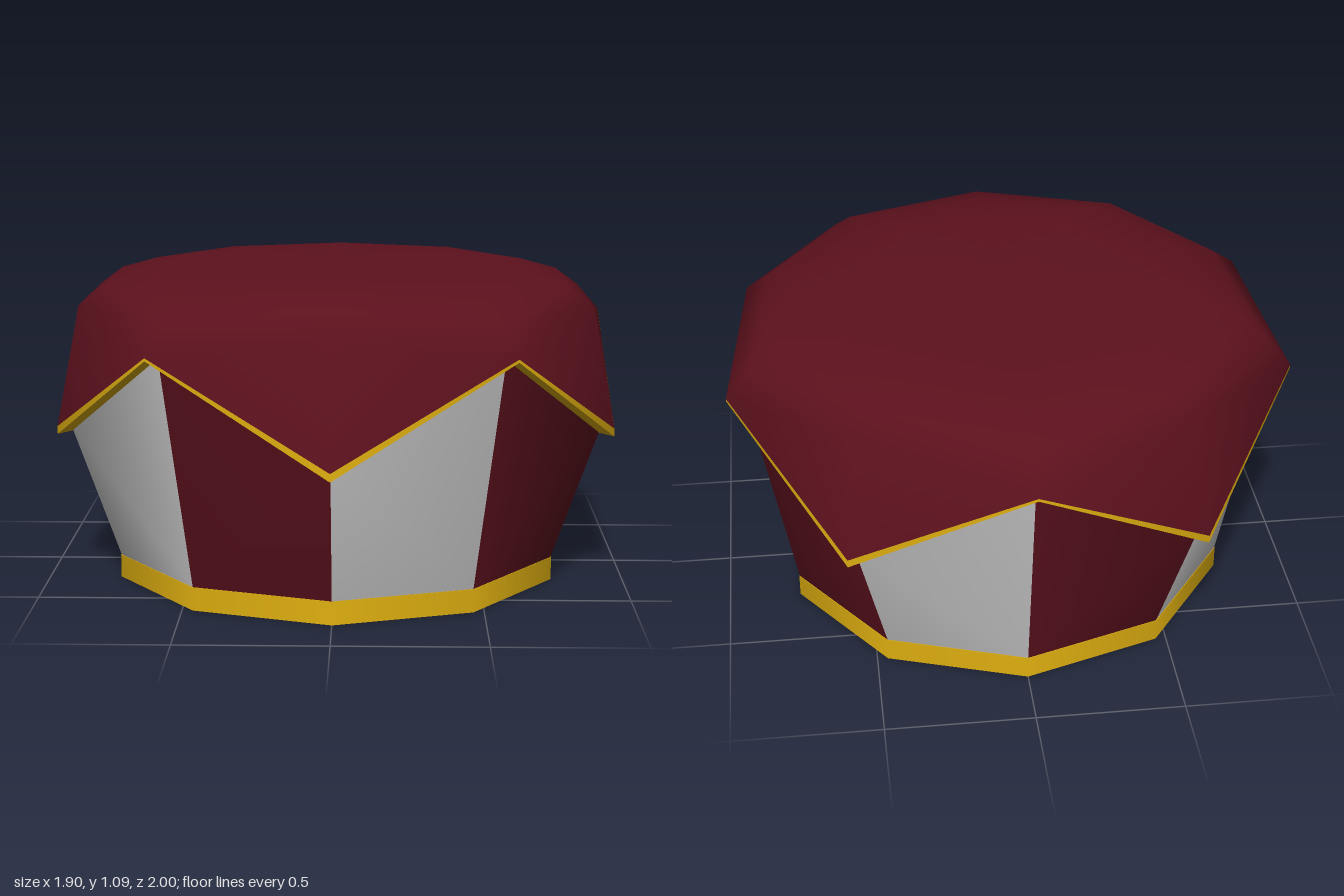
import * as THREE from 'three';

const SIDES = 10;
const MAROON = 0x5c111d, GOLD = 0xe0b010, GREY = 0xcccccc;

// Stacked ten-sided rings; each ring is [lowR, lowY, highR, highY], used at alternate corners.
// keep(i) picks which sides get faces; normals are smoothed over all of them.
function ringSurface(rings, keep = () => true) {
  const pos = [], all = [], kept = [];
  for (const [lowR, lowY, highR = lowR, highY = lowY] of rings) {
    for (let i = 0; i < SIDES; i++) {
      const a = (i / SIDES) * Math.PI * 2;
      const r = i % 2 ? highR : lowR;
      pos.push(r * Math.sin(a), i % 2 ? highY : lowY, r * Math.cos(a));
    }
  }
  for (let j = 0; j < rings.length - 1; j++) {
    for (let i = 0; i < SIDES; i++) {
      const n = (i + 1) % SIDES;
      const a = j * SIDES + i, b = j * SIDES + n, c = b + SIDES, d = a + SIDES;
      // the diagonal always starts at the high corner, so the folds bulge outward
      const quad = i % 2 ? [a, b, c, a, c, d] : [a, b, d, b, c, d];
      all.push(...quad);
      if (keep(i)) kept.push(...quad);
    }
  }
  const g = new THREE.BufferGeometry();
  g.setAttribute('position', new THREE.Float32BufferAttribute(pos, 3));
  g.setIndex(all);
  g.computeVertexNormals();
  g.setIndex(kept);
  return g;
}

export function createModel() {
  const model = new THREE.Group();
  const add = (name, geometry, color) => {
    const material = new THREE.MeshStandardMaterial({ color, side: THREE.DoubleSide });
    const mesh = new THREE.Mesh(geometry, material);
    mesh.name = name;
    model.add(mesh);
    return mesh;
  };

  // base band with a closed underside
  add('baseBand', new THREE.CylinderGeometry(0.79, 0.79, 0.08, SIDES), GOLD).position.y = 0.04;

  // flaring wall of alternating panels
  const wall = [[0.788, 0.08], [0.955, 0.56, 0.94, 0.88]];
  add('lightPanels', ringSurface(wall, i => i % 2 === 0), GREY);
  add('darkPanels', ringSurface(wall, i => i % 2 === 1), MAROON);

  // domed cover with a zigzag hem
  add('cover', ringSurface([
    [1, 0.55, 1, 0.876],
    [0.917, 0.967],
    [0.83, 1.03],
    [0.69, 1.07],
    [0.48, 1.09],
    [0.001, 1.09],
  ]), MAROON);

  // hem trim: outer face, then the underside that meets the wall
  add('hemTrim', ringSurface([[1, 0.525, 1, 0.867], [1, 0.552, 1, 0.877]]), GOLD);
  add('hemUnderside', ringSurface([[0.94, 0.535, 0.935, 0.867], [1, 0.525, 1, 0.867]]), GOLD);

  return model;
}
